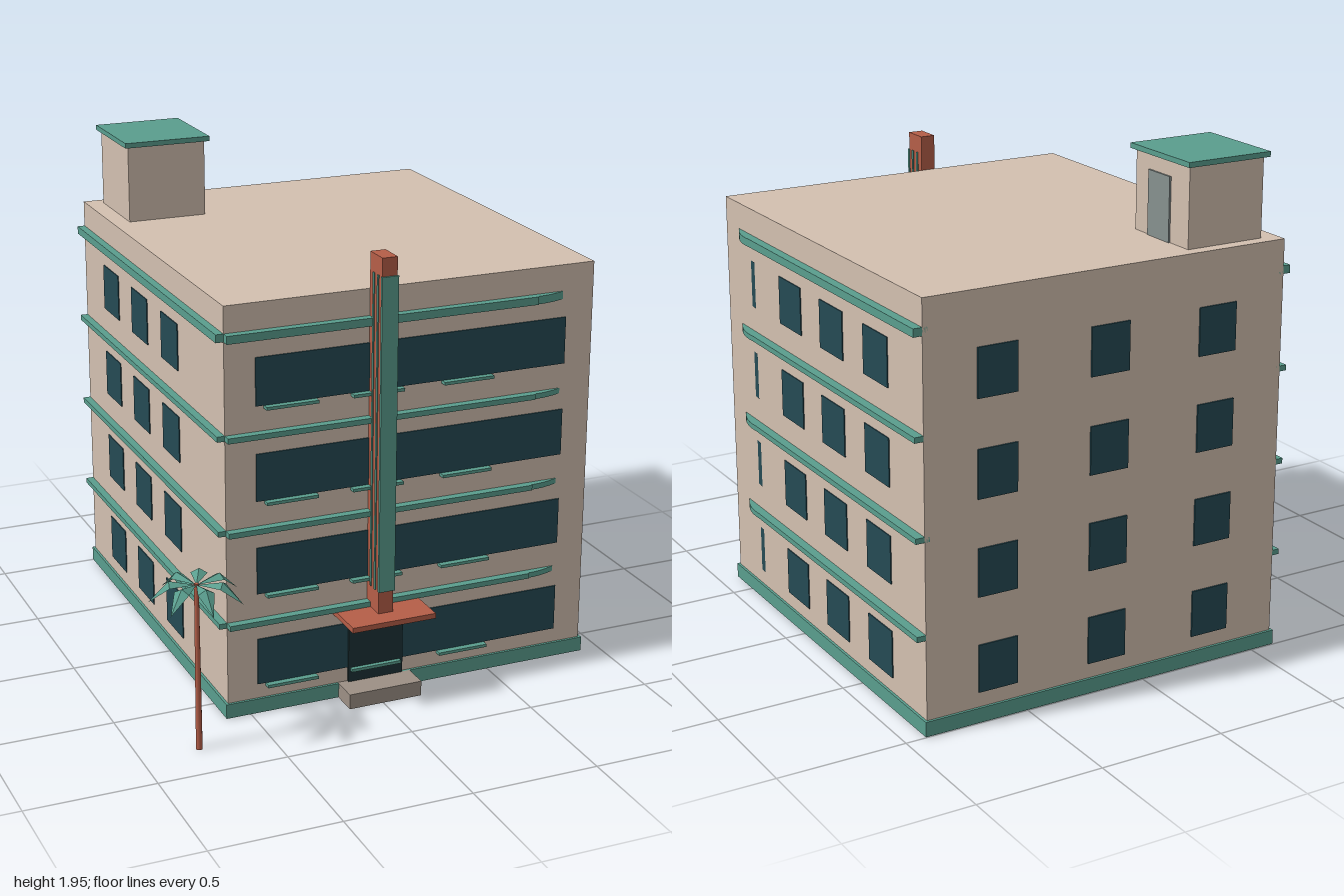
import * as THREE from 'three';

const paint = (color, side = THREE.FrontSide) =>
  new THREE.MeshStandardMaterial({ color, side, flatShading: side === THREE.DoubleSide });

export function createModel() {
  const root = new THREE.Group();
  const wall = paint(0xd3c0b0), green = paint(0x5a9e8e), glass = paint(0x254a54);
  const red = paint(0xb55e48), doorDark = paint(0x1d3236), stone = paint(0x9c9085);
  const doorGrey = paint(0x87918f), leafGreen = paint(0x5a9e8e, THREE.DoubleSide);
  const curvedGlass = paint(0x254a54, THREE.DoubleSide);
  curvedGlass.flatShading = false;

  const add = (name, geometry, material, parent = root) => {
    const mesh = new THREE.Mesh(geometry, material);
    mesh.name = name;
    parent.add(mesh);
    return mesh;
  };
  // Box given by its lower and upper limits on each axis
  const box = (name, mat, x0, x1, y0, y1, z0, z1, parent) => {
    const mesh = add(name, new THREE.BoxGeometry(x1 - x0, y1 - y0, z1 - z0), mat, parent);
    mesh.position.set((x0 + x1) / 2, (y0 + y1) / 2, (z0 + z1) / 2);
    return mesh;
  };

  // Building mass and plinth
  const L = -0.59, R = 0.91, B = -0.99, F = 0.63, cornerX = 0.66, cornerZ = 0.37;
  box('body', wall, L, R, 0.03, 1.62, B, F);
  box('plinth', green, L - 0.01, R + 0.01, 0.002, 0.06, B - 0.01, F + 0.01);
  const column = add('cornerColumn', new THREE.CylinderGeometry(0.25, 0.25, 1.6, 48), wall);
  column.position.set(cornerX, 0.8, cornerZ);

  // Four storeys of windows, sills and projecting bands
  for (let i = 0; i < 4; i++) {
    const storey = new THREE.Group();
    storey.name = 'storey' + (i + 1);
    root.add(storey);
    const y0 = 0.119 + 0.37 * i, y1 = y0 + 0.185;

    box('frontWindow', glass, -0.47, 0.795, y0, y1, F - 0.02, F + 0.005, storey);
    for (const x of [-0.335, 0.01, 0.38])
      box('sill', green, x - 0.103, x + 0.103, y0 - 0.012, y0, F - 0.01, F + 0.03, storey);
    const arc = add('cornerWindow', new THREE.CylinderGeometry(
      0.253, 0.253, 0.185, 24, 1, true, 0, Math.PI / 2), curvedGlass, storey);
    arc.position.set(cornerX, (y0 + y1) / 2, cornerZ);

    for (const z of [0.055, -0.293, -0.643]) {
      box('rightWindow', glass, R - 0.02, R + 0.004, y0, y1, z - 0.093, z + 0.093, storey);
      box('leftWindow', glass, L - 0.004, L + 0.02, y0, y1, z - 0.093, z + 0.093, storey);
    }
    for (const x of [-0.3, 0.16, 0.62])
      box('backWindow', glass, x - 0.08, x + 0.08, y0, y1, B - 0.006, B + 0.02, storey);

    const [b0, b1] = i === 3 ? [1.486, 1.517] : [0.37 + 0.37 * i, 0.391 + 0.37 * i];
    box('frontBand', green, L, cornerX, b0, b1, F - 0.02, F + 0.033, storey);
    box('rightBand', green, R - 0.02, R + 0.035, b0, b1, B, cornerZ, storey);
    box('leftBand', green, L - 0.03, L + 0.02, b0, b1, B, F, storey);
    const bend = add('cornerBand',
      new THREE.CylinderGeometry(0.287, 0.287, b1 - b0, 64), green, storey);
    bend.position.set(cornerX, (b0 + b1) / 2, cornerZ);
  }

  // Entrance
  box('entranceDoor', doorDark, -0.1, 0.127, 0.06, 0.35, F - 0.02, F + 0.012);
  box('entranceStep', stone, -0.14, 0.16, 0, 0.06, F - 0.02, 0.745);
  box('entranceCanopy', red, -0.16, 0.182, 0.35, 0.371, F, 0.814);

  // Vertical pylon with fluted sides and a front plate
  box('pylon', red, -0.02, 0.04, 0.371, 1.76, F, 0.735);
  box('pylonFront', green, -0.023, 0.043, 0.46, 1.69, 0.73, 0.742);
  for (const z of [0.665, 0.702])
    box('pylonStrip', green, -0.024, 0.044, 0.46, 1.69, z - 0.006, z + 0.006);

  // Rooftop stair house
  box('stairHouse', wall, -0.52, -0.197, 1.62, 1.925, -0.94, -0.6);
  box('stairHouseRoof', green, -0.535, -0.18, 1.925, 1.945, -0.96, -0.583);
  box('stairHouseDoor', doorGrey, -0.21, -0.19, 1.62, 1.865, -0.825, -0.688);

  // Palm tree: tapered trunk and seven folded fronds
  const palm = new THREE.Group();
  palm.name = 'palm';
  palm.position.set(-0.775, 0, 0.815);
  root.add(palm);
  add('trunk', new THREE.CylinderGeometry(0.009, 0.013, 0.66, 8), red, palm).position.y = 0.33;
  const frond = new THREE.BufferGeometry();
  frond.setAttribute('position', new THREE.Float32BufferAttribute([
    0, 0.655, 0, 0.031, 0.66, 0.1, 0, 0.677, 0.1, -0.031, 0.66, 0.1, 0, 0.6, 0.176], 3));
  frond.setIndex([0, 2, 1, 0, 3, 2, 1, 2, 4, 2, 3, 4]);
  frond.computeVertexNormals();
  for (let i = 0; i < 7; i++)
    add('frond', frond, leafGreen, palm).rotation.y = (i * Math.PI * 2) / 7;

  return root;
}
